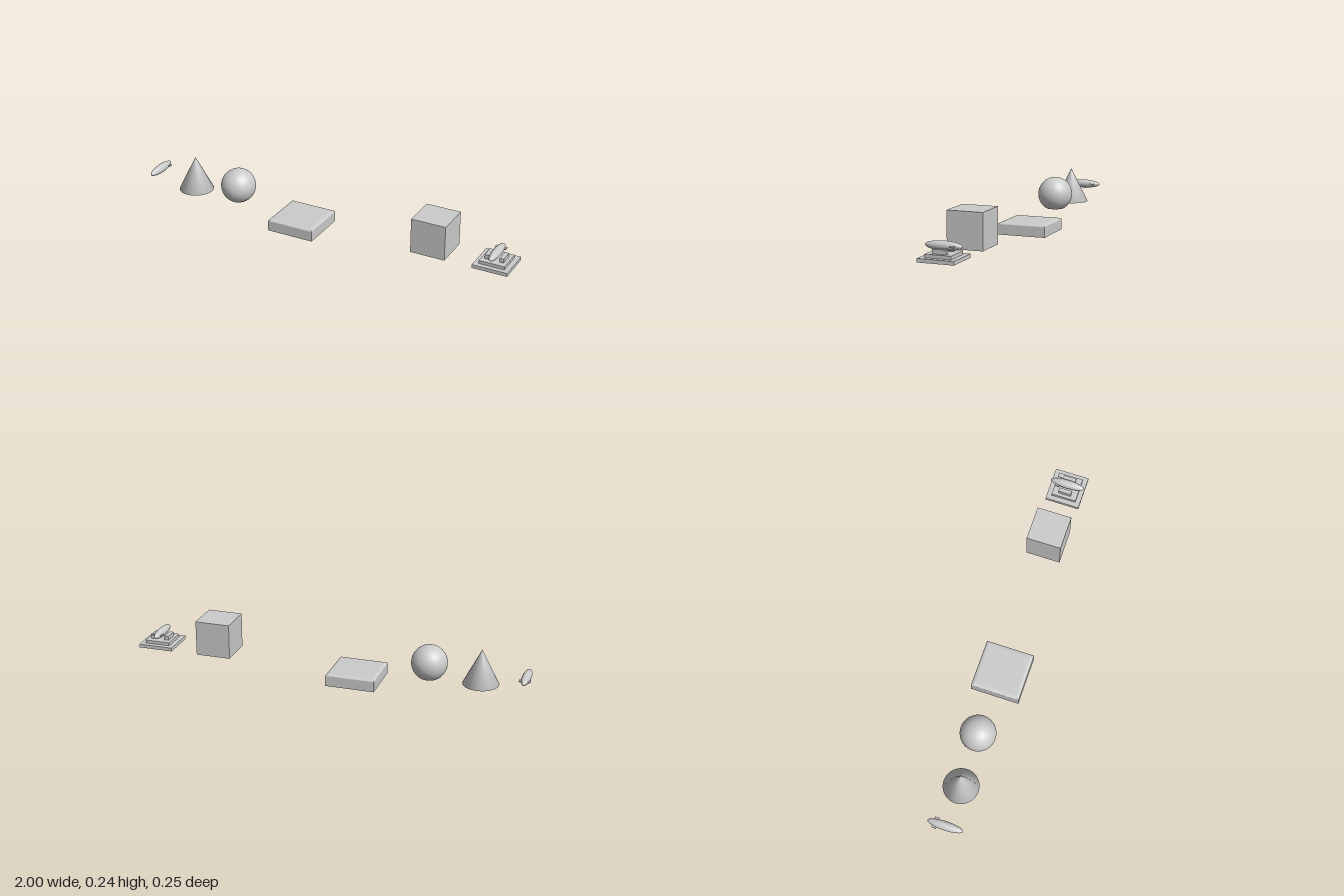
import * as THREE from 'three';

const material = new THREE.MeshStandardMaterial({ color: 0xcccccc });

function add(parent, name, geometry, x = 0, y = 0, z = 0) {
  const mesh = new THREE.Mesh(geometry, material);
  mesh.name = name;
  mesh.position.set(x, y, z);
  parent.add(mesh);
  return mesh;
}

const box = (w, h, d) => new THREE.BoxGeometry(w, h, d);

// Small airship: long hull, rear side fins and a belly cabin
function createAirship(name) {
  const ship = new THREE.Group();
  ship.name = name;
  add(ship, 'hull', new THREE.SphereGeometry(1, 32, 24).rotateX(Math.PI / 2).scale(0.022, 0.022, 0.089));
  add(ship, 'cabin', box(0.008, 0.006, 0.022), 0, -0.021, 0);
  for (const side of [-1, 1]) {
    add(ship, side > 0 ? 'leftFin' : 'rightFin', box(0.016, 0.006, 0.022), side * 0.019, 0, -0.049);
  }
  return ship;
}

export function createModel() {
  const model = new THREE.Group();
  model.name = 'shapeCollection';
  const floor = 0.062, size = 0.177, r = size / 2;

  // Free airship
  const airship = createAirship('airship');
  airship.position.set(-0.972, 0.125, 0);
  model.add(airship);

  // Cone with softly shaded rim
  const coneProfile = [[0, 0], [r, 0], [0, size]].map(p => new THREE.Vector2(...p));
  add(model, 'cone', new THREE.LatheGeometry(coneProfile, 48), -0.753, floor, 0);

  // Ball with a flattened bottom
  const cut = Math.acos(-0.076 / r);
  add(model, 'ball', new THREE.SphereGeometry(r, 48, 32, 0, Math.PI * 2, 0, cut), -0.498, 0.139, 0);
  add(model, 'ballBase', new THREE.CircleGeometry(r * Math.sin(cut), 48).rotateX(Math.PI / 2), -0.498, 0.063, 0);

  // Slab with a rounded upper edge
  const slabSize = 0.247, inset = 0.02, h = slabSize / 2 - inset;
  add(model, 'slab', box(slabSize, 0.052, slabSize), -0.132, 0.026, 0);
  const square = new THREE.Shape([[-h, -h], [h, -h], [h, h], [-h, h]].map(p => new THREE.Vector2(...p)));
  const top = new THREE.ExtrudeGeometry(square, {
    depth: 0.02, bevelEnabled: true, bevelThickness: 0.009, bevelSize: inset, bevelSegments: 5,
  }).rotateX(-Math.PI / 2);
  add(model, 'slabTop', top, -0.132, 0.032, 0);

  // Cube
  add(model, 'cube', box(size, size, size), 0.594, floor + r, 0);

  // Stepped stand carrying a second airship
  const stand = new THREE.Group();
  stand.name = 'stand';
  stand.position.x = 0.909;
  add(stand, 'lowerStep', box(size, 0.018, size), 0, 0.07, 0);
  add(stand, 'upperStep', box(0.128, 0.016, 0.128), 0, 0.087, 0);
  for (const side of [-1, 1]) {
    add(stand, side > 0 ? 'leftCradle' : 'rightCradle', box(0.021, 0.022, 0.066), side * 0.037, 0.105, 0);
  }
  const mounted = createAirship('mountedAirship');
  mounted.position.y = 0.125;
  stand.add(mounted);
  model.add(stand);

  return model;
}
